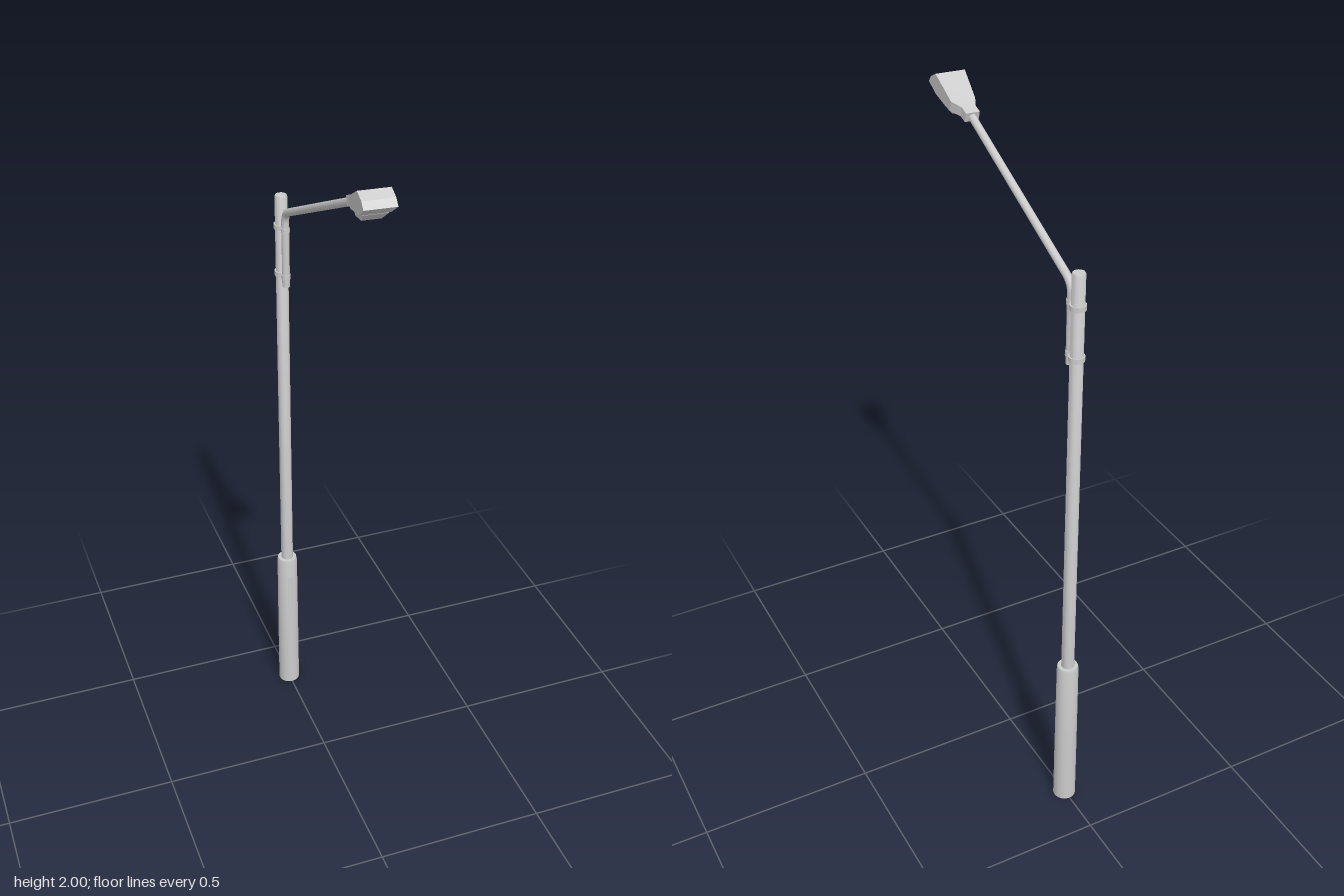
import * as THREE from 'three';
import { toCreasedNormals } from 'three/addons/utils/BufferGeometryUtils.js';

const POLE_Z = -0.345;
const material = new THREE.MeshStandardMaterial({ color: 0xcccccc });

function add(parent, name, geometry, x = 0, y = 0, z = 0) {
  const mesh = new THREE.Mesh(geometry, material);
  mesh.name = name;
  mesh.position.set(x, y, z);
  parent.add(mesh);
  return mesh;
}

function lathe(profile, sides = 16) {
  const points = profile.map(([r, y]) => new THREE.Vector2(r, y));
  return toCreasedNormals(new THREE.LatheGeometry(points, sides).toNonIndexed(), 0.6);
}

// Skins four-cornered sections [left, right, topZ, topY, bottomZ, bottomY, bottomWidthScale]
function loft(sections) {
  const position = [], index = [];
  for (const [l, r, tz, ty, bz, by, s = 1] of sections) {
    const corners = [[l, ty, tz], [r, ty, tz], [r * s, by, bz], [l * s, by, bz]];
    // the housing is slightly skewed across its width
    for (const [x, y, z] of corners) position.push(x, y, z + x * 0.06);
  }
  const quad = (a, b, c, d) => index.push(a, b, c, a, c, d);
  const last = (sections.length - 1) * 4;
  for (let i = 0; i < last; i += 4) {
    for (let k = 0; k < 4; k++) {
      const n = (k + 1) % 4;
      quad(i + k, i + 4 + k, i + 4 + n, i + n);
    }
  }
  quad(0, 1, 2, 3);
  quad(last + 3, last + 2, last + 1, last);
  const g = new THREE.BufferGeometry();
  g.setAttribute('position', new THREE.Float32BufferAttribute(position, 3));
  g.setIndex(index);
  return toCreasedNormals(g.toNonIndexed(), 0.3);
}

export function createModel() {
  const model = new THREE.Group();
  model.name = 'streetLight';

  // Wide base and slim mast
  add(model, 'base', lathe([
    [0, 0], [0.033, 0], [0.0325, 0.2], [0.031, 0.49], [0.029, 0.5], [0, 0.5],
  ]), 0, 0, POLE_Z);
  add(model, 'mast', lathe([
    [0, 0.49], [0.0185, 0.49], [0.0175, 1.717], [0.0155, 1.721], [0, 1.721],
  ]), 0, 0, POLE_Z);

  // Curved access door on the front of the base
  const door = new THREE.CylinderGeometry(0.0328, 0.0334, 0.26, 6, 1, true, -0.3, 0.6);
  add(model, 'accessDoor', door, 0, 0.31, POLE_Z);

  // Bent arm: upright stub, tight bend, long rising run
  const path = new THREE.CurvePath();
  const v = (y, z) => new THREE.Vector3(0.001, y, z);
  const start = v(1.46, -0.314), bendIn = v(1.655, -0.314);
  const corner = v(1.682, -0.312), bendOut = v(1.693, -0.285), end = v(1.923, 0.21);
  path.add(new THREE.LineCurve3(start, bendIn));
  path.add(new THREE.QuadraticBezierCurve3(bendIn, corner, bendOut));
  path.add(new THREE.LineCurve3(bendOut, end));
  add(model, 'arm', new THREE.TubeGeometry(path, 100, 0.0108, 10, false));
  const cap = add(model, 'armLowerCap', new THREE.CircleGeometry(0.0108, 10), 0.001, 1.46, -0.314);
  cap.rotation.x = Math.PI / 2;

  // Straps holding the arm to the mast
  for (const y of [1.49, 1.63]) {
    const strap = new THREE.Group();
    strap.name = 'strap';
    strap.position.y = y;
    add(strap, 'mastBand', new THREE.CylinderGeometry(0.0215, 0.0215, 0.014, 16), 0, 0, POLE_Z);
    add(strap, 'armBand', new THREE.CylinderGeometry(0.0125, 0.0125, 0.014, 12), 0.001, 0, -0.314);
    model.add(strap);
  }

  // Lamp head: neck, flared housing, sloping nose and a lens below
  const head = new THREE.Group();
  head.name = 'lampHead';
  add(head, 'housing', loft([
    [-0.017, 0.021, 0.198, 1.934, 0.206, 1.909],
    [-0.017, 0.021, 0.222, 1.943, 0.229, 1.917],
    [-0.028, 0.039, 0.246, 1.953, 0.256, 1.925],
    [-0.042, 0.04, 0.333, 2.0, 0.341, 1.943, 0.92],
    [-0.042, 0.04, 0.361, 1.986, 0.375, 1.969],
  ]));
  add(head, 'lens', loft([
    [-0.022, 0.03, 0.255, 1.93, 0.262, 1.92, 0.9],
    [-0.027, 0.033, 0.268, 1.935, 0.27, 1.912, 0.75],
    [-0.034, 0.035, 0.325, 1.952, 0.316, 1.919, 0.7],
    [-0.036, 0.036, 0.342, 1.952, 0.341, 1.942, 0.9],
  ]));
  model.add(head);

  return model;
}
